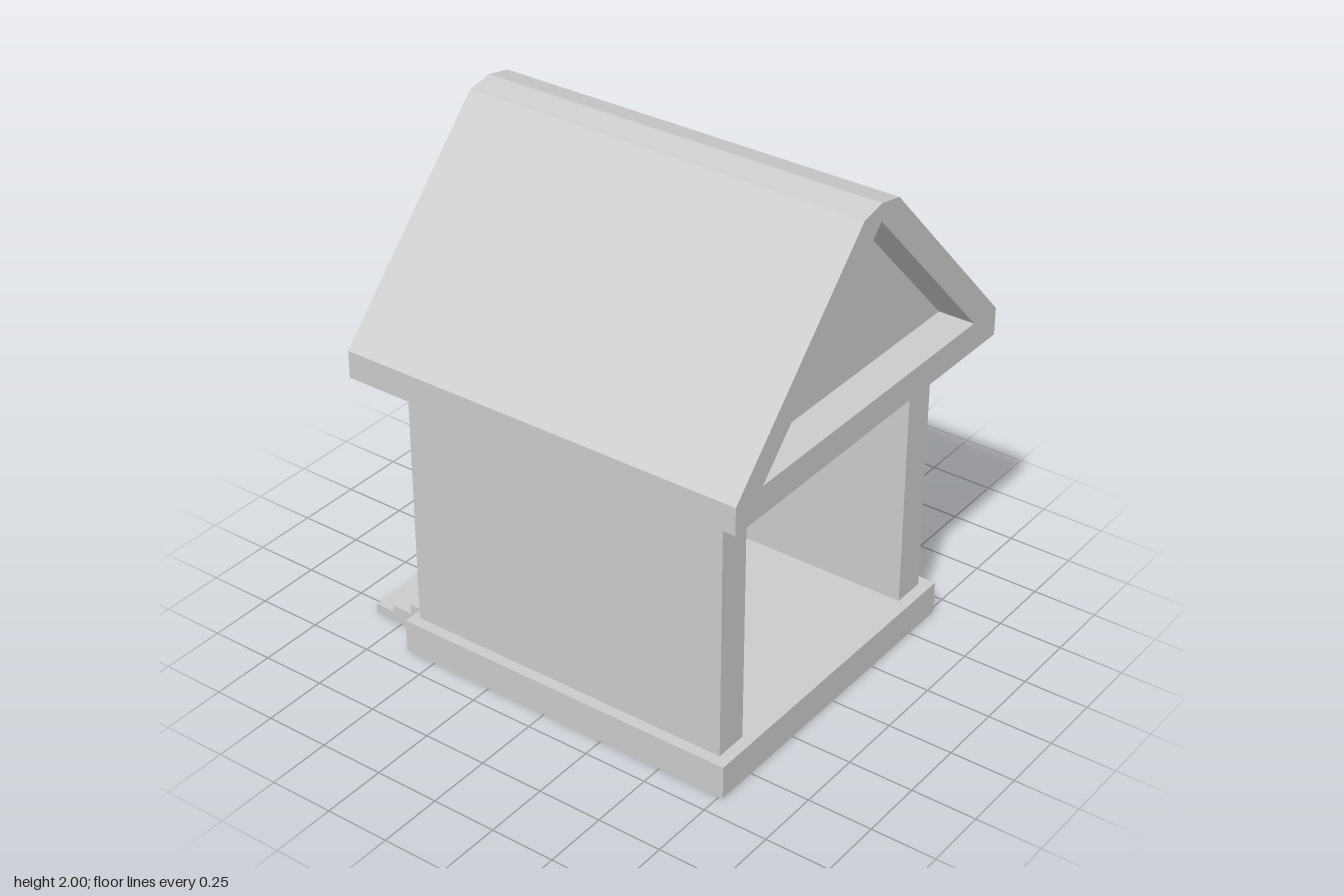
import * as THREE from 'three';

const material = new THREE.MeshStandardMaterial({ color: 0xcccccc, flatShading: true });

export function createModel() {
  const group = new THREE.Group();

  const add = (name, geometry, parent = group) => {
    const mesh = new THREE.Mesh(geometry, material);
    mesh.name = name;
    parent.add(mesh);
    return mesh;
  };
  // Box given by its limits on each axis
  const box = (name, x0, x1, y0, y1, z0, z1, parent) =>
    add(name, new THREE.BoxGeometry(x1 - x0, y1 - y0, z1 - z0), parent)
      .position.set((x0 + x1) / 2, (y0 + y1) / 2, (z0 + z1) / 2);
  // Eight-sided drum with flats facing the axes
  const drum = (name, rTop, rBottom, y0, y1, parent) => {
    const g = new THREE.CylinderGeometry(rTop, rBottom, y1 - y0, 8);
    g.rotateY(Math.PI / 8);
    add(name, g, parent).position.y = (y0 + y1) / 2;
  };
  const points = (list) => list.map(([x, y]) => new THREE.Vector2(x, y));
  // Outline in x and y, extruded from z0 to z1
  const extrude = (name, shape, z0, z1) => {
    const g = new THREE.ExtrudeGeometry(shape, { depth: z1 - z0, bevelEnabled: false });
    add(name, g).position.z = z0;
  };

  // Base slab and the steps up to the porch
  box('base', -0.665, 0.665, 0, 0.13, -0.63, 0.765);
  [[0.105, -0.705], [0.065, -0.79], [0.037, -0.872]].forEach(([top, z]) =>
    box('step', -0.555, 0.555, 0, top, z, -0.6));

  // Side walls, ceiling and the wall between porch and room
  for (const s of [-1, 1]) {
    box('sideWall', s * 0.556 - 0.066, s * 0.556 + 0.066, 0.13, 1.165, -0.6, 0.72);
  }
  box('ceiling', -0.49, 0.49, 1.05, 1.165, -0.6, 0.72);
  box('partition', -0.49, 0.49, 0.13, 1.05, -0.41, -0.17);
  box('door', -0.08, 0.08, 0.13, 0.85, -0.45, -0.41);

  // Porch columns
  for (const s of [-1, 1]) {
    const column = new THREE.Group();
    column.name = 'column';
    column.position.set(s * 0.275, 0, -0.515);
    box('plinth', -0.098, 0.098, 0.13, 0.165, -0.098, 0.098, column);
    drum('columnBase', 0.095, 0.106, 0.165, 0.2, column);
    drum('shaft', 0.063, 0.088, 0.2, 0.98, column);
    drum('capital', 0.085, 0.066, 0.98, 1.015, column);
    box('abacus', -0.084, 0.084, 1.015, 1.05, -0.084, 0.084, column);
    group.add(column);
  }

  // Roof with a blunt ridge, hollowed by the gable triangle
  const gable = [[-0.63, 1.275], [0.63, 1.275], [0, 1.935]];
  const roof = new THREE.Shape(points([
    [-0.775, 1.165], [0.775, 1.165], [0.775, 1.27], [0.1, 1.98],
    [0, 2], [-0.1, 1.98], [-0.775, 1.27],
  ]));
  roof.holes.push(new THREE.Path(points(gable)));
  extrude('roof', roof, -0.72, 0.875);

  // Recessed gable panels at both ends
  extrude('gablePanels', new THREE.Shape(points(gable)), -0.6, 0.735);

  return group;
}
